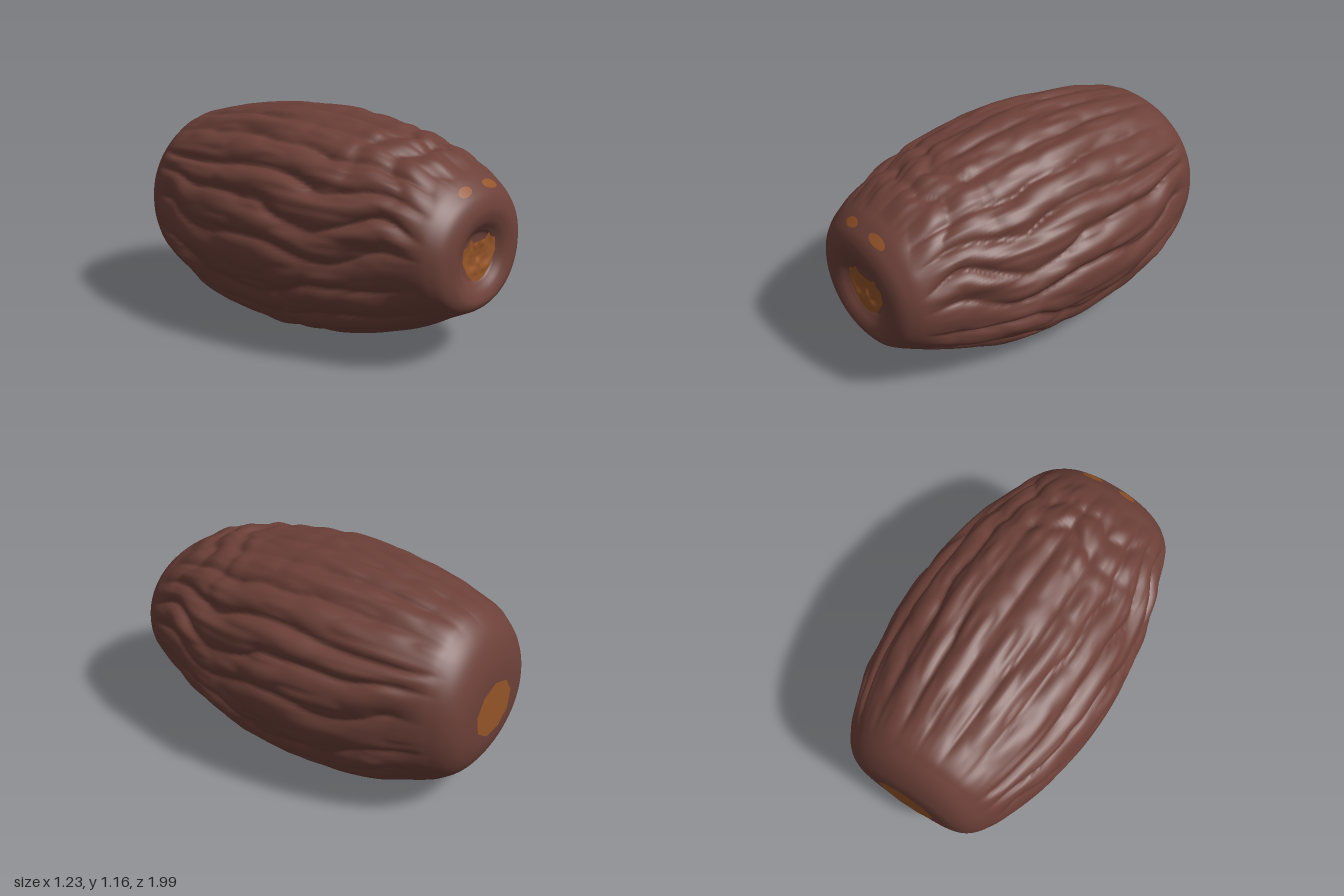
import * as THREE from 'three';

// Rings from the stem dimple to the tail: [z, half width, top y, bottom y]
const RINGS = [
  [0.925, 0, 0.565, 0.565], [0.93, 0.12, 0.665, 0.46], [0.95, 0.16, 0.70, 0.425], [0.978, 0.205, 0.745, 0.385],
  [0.99, 0.265, 0.805, 0.34], [0.97, 0.335, 0.867, 0.303], [0.93, 0.382, 0.912, 0.28], [0.87, 0.42, 0.96, 0.25],
  [0.75, 0.46, 1.03, 0.185], [0.6, 0.505, 1.085, 0.12], [0.4, 0.56, 1.125, 0.06], [0.2, 0.59, 1.15, 0.02],
  [0, 0.605, 1.168, 0.01], [-0.2, 0.6, 1.16, 0.01], [-0.4, 0.575, 1.14, 0.025], [-0.6, 0.53, 1.11, 0.068],
  [-0.8, 0.465, 1.06, 0.135], [-0.88, 0.425, 1.012, 0.18], [-0.94, 0.38, 0.945, 0.24], [-0.98, 0.32, 0.855, 0.325],
  [-0.998, 0.23, 0.765, 0.435], [-1, 0, 0.6, 0.6],
];
const LAST = RINGS.length - 1;
const curve = (f) => new THREE.CatmullRomCurve3(RINGS.map(f), false, 'catmullrom', 0.5);
const widthCurve = curve(([z, w]) => new THREE.Vector3(z, w, 0));
const heightCurve = curve(([z, , t, b]) => new THREE.Vector3(z, (t + b) / 2, (t - b) / 2));

// Smooth value noise
const hash = (i, j) => {
  const s = Math.sin(i * 127.1 + j * 311.7) * 43758.5453;
  return s - Math.floor(s);
};
function noise(u, v) {
  const i = Math.floor(u), j = Math.floor(v);
  const f = u - i, g = v - j;
  const a = f * f * (3 - 2 * f), b = g * g * (3 - 2 * g);
  const { lerp } = THREE.MathUtils;
  return lerp(lerp(hash(i, j), hash(i + 1, j), a), lerp(hash(i, j + 1), hash(i + 1, j + 1), a), b);
}

// Puffy lengthwise folds, mirrored left and right, fading at both ends
function wrinkle(angle, z) {
  const a = Math.abs(Math.atan2(Math.sin(angle), Math.cos(angle)));
  const { smoothstep } = THREE.MathUtils;
  const mask = smoothstep(z, -0.92, -0.6) * (1 - smoothstep(z, 0.66, 0.92));
  if (mask === 0) return 0;
  const warp = Math.sin(a) * (3 * noise(a * 2.4 + 5, z * 2.8 + 9) + 0.8 * noise(a * 5, z * 6 + 20));
  const fold = Math.pow(Math.abs(Math.sin(9 * a + warp)), 0.75) - 0.72;
  const calm = 1 - 0.45 * smoothstep(Math.abs(Math.cos(a)), 0.75, 0.97);
  const depth = (0.02 + 0.045 * noise(a * 3 + 30, z * 3 + 3)) * calm;
  const fine = 0.012 * (Math.abs(2 * noise(a * 9 + 2, z * 5 + 40) - 1) - 0.45);
  // Cross folds on the upper front
  const brow = smoothstep(Math.cos(a), 0.4, 0.9) * smoothstep(z, 0.25, 0.55);
  const cross = 0.026 * (Math.abs(Math.sin(z * 17 + 3 * noise(a * 5, z * 4))) - 0.65);
  return mask * (fold * depth * (1 - 0.5 * brow) + fine + brow * cross);
}

// Point on the skin: ring index (fractional) and angle from the top towards +x
function skin(ring, angle, lift = 0) {
  const t = THREE.MathUtils.clamp(ring / LAST, 0, 1);
  const w = widthCurve.getPoint(t), h = heightCurve.getPoint(t);
  const s = Math.sin(angle), c = Math.cos(angle), n = 2.15;
  const k = Math.pow(Math.abs(s) ** n + Math.abs(c) ** n, -1 / n);
  const d = wrinkle(angle, w.x) + lift;
  return [s * (k * w.y + d), h.y + c * (k * h.z + d), w.x + lift];
}

// Closed loops of points joined into a smooth surface
function loft(rows, cols, point) {
  const pos = [], index = [];
  for (let i = 0; i <= rows; i++) {
    for (let j = 0; j < cols; j++) {
      pos.push(...point(i / rows, (j / cols) * Math.PI * 2));
      if (i === rows) continue;
      const a = i * cols + j, b = i * cols + ((j + 1) % cols);
      index.push(a, b, a + cols, b, b + cols, a + cols);
    }
  }
  const g = new THREE.BufferGeometry();
  g.setAttribute('position', new THREE.Float32BufferAttribute(pos, 3));
  g.setIndex(index);
  g.computeVertexNormals();
  return g;
}

const material = (name, color) => {
  const m = new THREE.MeshStandardMaterial({ color });
  m.name = name;
  return m;
};

export function createModel() {
  const group = new THREE.Group();
  group.name = 'driedFruit';
  const add = (name, geometry, mat) => {
    const mesh = new THREE.Mesh(geometry, mat);
    mesh.name = name;
    group.add(mesh);
  };
  const skinBrown = material('skinBrown', 0x6c4038);
  const stemOrange = material('stemOrange', 0x945428);

  // Wrinkled body
  add('body', loft(210, 260, (u, a) => skin(u * LAST, a)), skinBrown);

  // Bumpy stem scar in the dimple, from a mirrored half outline
  const half = [[0, 0.648], [0.045, 0.645], [0.08, 0.672], [0.1, 0.648], [0.14, 0.63],
    [0.147, 0.57], [0.1, 0.495], [0.05, 0.455], [0, 0.443]];
  const outline = [...half, ...half.slice(1, -1).reverse().map(([x, y]) => [-x, y])];
  const scarPoint = (u, a) => {
    const f = (a / (Math.PI * 2)) * outline.length;
    const p = outline[Math.floor(f) % outline.length], q = outline[(Math.floor(f) + 1) % outline.length];
    const m = f - Math.floor(f);
    const x = u * (p[0] + (q[0] - p[0]) * m);
    const y = 0.565 + u * (p[1] + (q[1] - p[1]) * m - 0.565);
    const bump = 0.026 * (noise(Math.abs(x) * 30 + 7, y * 30) - 0.4);
    return [x, y, 0.947 + 0.008 * u * u + bump * (1 - u ** 4)];
  };
  add('stemScar', loft(14, 64, scarPoint), stemOrange);

  // Two small spots above the dimple
  for (const [name, x, size] of [['leftSpot', 0.27, 0.16], ['rightSpot', -0.28, 0.125]]) {
    const spot = (u, a) => skin(6.03 + 0.42 * u * Math.cos(a), x + size * u * Math.sin(a), 0.004);
    add(name, loft(4, 20, spot), stemOrange);
  }

  // Flat patch on the tail
  const tail = (u, a) => [(1 - u) * 0.17 * Math.sin(a), 0.57 + (1 - u) * 0.145 * Math.cos(a), -1.003];
  add('tailPatch', loft(1, 9, tail), stemOrange);

  return group;
}
